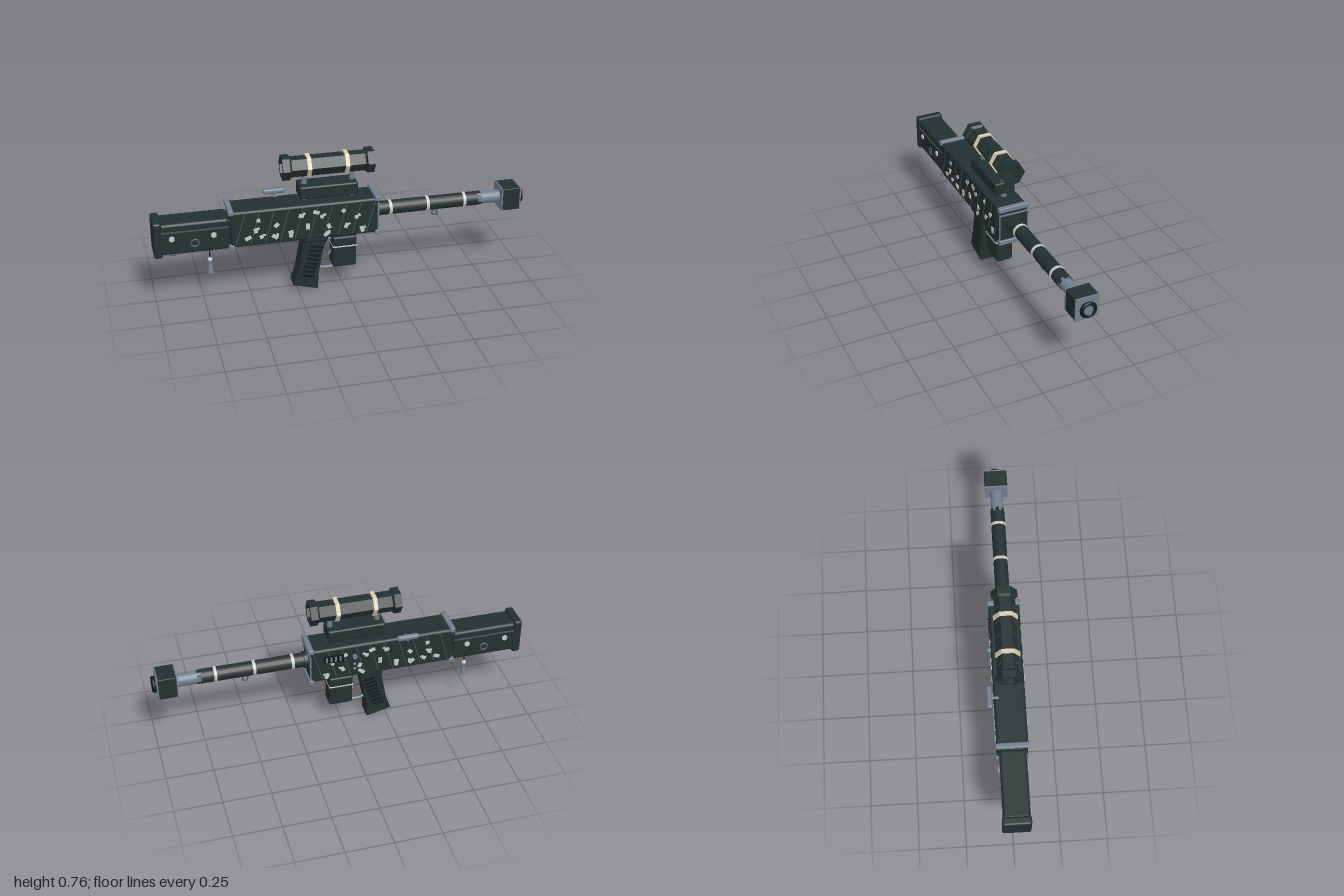
import * as THREE from 'three';
import { RoundedBoxGeometry } from 'three/addons/geometries/RoundedBoxGeometry.js';

const mat = (name, color) => Object.assign(new THREE.MeshStandardMaterial({ color }), { name });

export function createModel() {
  const dark = mat('dark green body', 0x23302f);
  const steel = mat('blue grey steel', 0x6f7e8e);
  const pale = mat('pale silver', 0xc6cac8);
  const cream = mat('cream band', 0xd8ccb0);
  const shade = mat('dark grey trim', 0x4b565c);
  const black = mat('near black', 0x141b1c);

  const root = new THREE.Group();
  const body = new THREE.Group();
  body.name = 'launcher';
  body.position.z = 0.016;
  root.add(body);

  // Helpers
  const add = (name, geo, m, x = 0, y = 0, z = 0) => {
    const mesh = new THREE.Mesh(geo, m);
    mesh.name = name;
    mesh.position.set(x, y, z);
    body.add(mesh);
    return mesh;
  };
  const rbox = (name, m, x0, x1, y0, y1, hz, r = 0.01) =>
    add(name, new RoundedBoxGeometry(x1 - x0, y1 - y0, hz * 2, 2, r), m, (x0 + x1) / 2, (y0 + y1) / 2);
  const box = (name, m, x, y, z, w, h, d, rot = 0) => {
    const mesh = add(name, new THREE.BoxGeometry(w, h, d), m, x, y, z);
    mesh.rotation.z = rot;
    return mesh;
  };
  const rod = (name, m, x0, x1, y, r, seg = 20) =>
    add(name, new THREE.CylinderGeometry(r, r, x1 - x0, seg).rotateZ(-Math.PI / 2), m, (x0 + x1) / 2, y);
  const torusX = (name, m, x, y, R, r) =>
    add(name, new THREE.TorusGeometry(R, r, 10, 24).rotateY(Math.PI / 2), m, x, y);
  const hexTube = (name, m, pts, y) => {
    const g = new THREE.LatheGeometry(pts.map(p => new THREE.Vector2(p[0], p[1])), 6)
      .rotateZ(-Math.PI / 2).toNonIndexed();
    g.computeVertexNormals();
    return add(name, g, m, 0, y);
  };

  // Stock
  rbox('buttPlate', dark, -1, -0.955, 0.297, 0.495, 0.075, 0.012);
  rbox('stock', dark, -0.965, -0.61, 0.31, 0.482, 0.069, 0.015);
  rbox('stockNeck', dark, -0.63, -0.59, 0.33, 0.47, 0.06, 0.01);
  for (const s of [1, -1]) {
    box('stockTrim', shade, -0.785, 0.438, s * 0.07, 0.34, 0.007, 0.006);
    for (const x of [-0.905, -0.69])
      add('stockStud', new THREE.CylinderGeometry(0.016, 0.016, 0.012, 6).rotateX(Math.PI / 2), pale, x, 0.402, s * 0.07);
    add('stockRing', new THREE.TorusGeometry(0.02, 0.005, 8, 16), shade, -0.788, 0.366, s * 0.07);
  }
  add('stockSlingLoop', new THREE.TorusGeometry(0.015, 0.004, 8, 16), shade, -0.895, 0.288);

  // Hanging charm
  add('charmCord', new THREE.CylinderGeometry(0.003, 0.003, 0.09, 8), black, -0.708, 0.27);
  add('charmBead', new THREE.SphereGeometry(0.013, 12, 8), pale, -0.708, 0.226);
  add('charmTassel', new THREE.CylinderGeometry(0.005, 0.018, 0.065, 12), steel, -0.708, 0.183);

  // Receiver with cross bars at both ends
  rbox('receiver', dark, -0.605, 0.178, 0.318, 0.518, 0.081, 0.014);
  for (const x of [-0.6, 0.174])
    for (const y of [0.516, 0.32])
      rbox('crossBar', steel, x - 0.014, x + 0.014, y - 0.014, y + 0.014, 0.086, 0.006);
  box('endStrip', steel, 0.179, 0.483, 0, 0.008, 0.009, 0.164);
  for (const s of [1, -1]) box('endEdge', steel, 0.178, 0.41, s * 0.08, 0.008, 0.15, 0.007);

  // Painted flecks and slanted scores on both sides
  const flecks = [[-0.46, 0.462], [-0.475, 0.405], [-0.515, 0.366], [-0.445, 0.366], [-0.365, 0.424], [-0.375, 0.36],
    [-0.29, 0.355], [-0.235, 0.462], [-0.2, 0.398], [-0.125, 0.447], [-0.088, 0.388], [-0.1, 0.345],
    [-0.01, 0.468], [0.005, 0.38], [-0.155, 0.474], [0.06, 0.425], [-0.29, 0.375], [0.09, 0.35]];
  for (const s of [1, -1]) {
    flecks.forEach(([x, y], i) => {
      const w = 0.02 + 0.007 * (i % 3);
      box('paintFleck', pale, x, y, s * 0.082, w, 0.02, 0.005, (i * 1.7) % 3);
      if (i % 2) box('paintFleck', pale, x + 0.014, y + 0.01, s * 0.082, 0.016, 0.012, 0.005, i);
    });
    for (let i = 0; i < 10; i++)
      box('scoreLine', shade, -0.555 + i * 0.077, 0.418, s * 0.081, 0.004, 0.18, 0.004, -0.27);
  }

  // Ejection port and knob on the far side
  box('portPlate', black, 0.055, 0.455, -0.083, 0.11, 0.045, 0.009);
  for (let i = 0; i < 4; i++) box('portSlot', steel, 0.018 + i * 0.025, 0.455, -0.087, 0.01, 0.03, 0.006);
  add('selectorKnob', new THREE.CylinderGeometry(0.013, 0.013, 0.018, 12).rotateX(Math.PI / 2), steel, -0.06, 0.452, -0.087);
  for (const y of [0.4, 0.37])
    add('sideRivet', new THREE.SphereGeometry(0.009, 10, 8), steel, -0.06, y, -0.081);

  // Bolt handle
  add('boltHandle', new RoundedBoxGeometry(0.118, 0.028, 0.028, 3, 0.011), steel, -0.343, 0.534, -0.103);
  add('boltStem', new THREE.CylinderGeometry(0.007, 0.007, 0.05, 10).rotateX(Math.PI / 2), steel, -0.343, 0.518, -0.082);

  // Barrel with bands and a notched collar
  const by = 0.42;
  rod('barrelRoot', dark, 0.17, 0.2, by, 0.045);
  rod('barrel', dark, 0.17, 0.745, by, 0.038);
  for (const x of [0.26, 0.465, 0.67]) rod('barrelBand', pale, x - 0.008, x + 0.008, by, 0.041);
  rod('barrelTip', steel, 0.74, 0.88, by, 0.034);
  for (let i = 0; i < 6; i++) {
    const a = i * Math.PI / 3;
    const tooth = add('collarTooth', new THREE.BoxGeometry(0.025, 0.006, 0.02), dark,
      0.752, by + Math.cos(a) * 0.034, Math.sin(a) * 0.034);
    tooth.rotation.x = a;
  }
  add('barrelLoop', new THREE.TorusGeometry(0.015, 0.004, 8, 16), shade, 0.512, 0.362);

  // Muzzle block
  rbox('muzzleBlock', dark, 0.876, 0.972, 0.358, 0.482, 0.062, 0.004);
  for (const x of [0.873, 0.974]) box('muzzlePlate', steel, x, by, 0, 0.007, 0.126, 0.126);
  rod('muzzleSleeve', dark, 0.974, 0.988, by - 0.003, 0.04);
  torusX('muzzleRing', black, 0.989, by - 0.003, 0.035, 0.01);
  rod('muzzleCore', steel, 0.974, 0.992, by - 0.003, 0.027);

  // Scope: open six-sided tube
  const sy = 0.708;
  hexTube('scopeTube', dark, [[0.047, -0.32], [0.068, -0.32], [0.068, -0.282], [0.055, -0.272],
    [0.055, 0.117], [0.068, 0.127], [0.068, 0.165], [0.047, 0.165], [0.047, -0.32]], sy);
  for (const x of [-0.18, 0.02])
    hexTube('scopeBand', cream, [[0.05, x - 0.011], [0.064, x - 0.011], [0.064, x + 0.011], [0.05, x + 0.011]], sy);
  for (const s of [1, -1])
    for (let i = 0; i < 5; i++) {
      const score = box('scopeScore', shade, -0.235 + i * 0.075, sy + 0.024, s * 0.0415, 0.003, 0.035, 0.003);
      score.rotation.set(-s * Math.PI / 6, 0, -0.3);
    }

  // Scope mount
  rbox('mountBlock', dark, -0.235, 0.075, 0.54, 0.61, 0.057, 0.01);
  for (const x of [-0.202, 0.053])
    add('mountPost', new THREE.CylinderGeometry(0.015, 0.015, 0.16, 14), steel, x, 0.585);

  // Grip: side outline with rounded edges
  const outline = new THREE.Shape();
  outline.moveTo(-0.205, 0.33);
  outline.lineTo(-0.222, 0.22);
  outline.lineTo(-0.24, 0.12);
  outline.lineTo(-0.265, 0.043);
  outline.lineTo(-0.148, 0.012);
  outline.quadraticCurveTo(-0.15, 0.09, -0.132, 0.16);
  outline.quadraticCurveTo(-0.122, 0.24, -0.1, 0.29);
  outline.lineTo(-0.1, 0.33);
  outline.closePath();
  const gripGeo = new THREE.ExtrudeGeometry(outline, {
    depth: 0.084, bevelEnabled: true, bevelThickness: 0.01, bevelSize: 0.008, bevelSegments: 2, curveSegments: 6 });
  add('grip', gripGeo.translate(0, 0, -0.042), dark);
  rbox('gripCollar', dark, -0.22, -0.09, 0.293, 0.325, 0.07, 0.01);
  for (const s of [1, -1])
    for (let i = 0; i < 8; i++)
      box('gripRidge', black, -0.198 + i * 0.007, 0.09 + i * 0.024, s * 0.053, 0.065, 0.011, 0.008, -0.22);

  // Magazine
  rbox('magazine', dark, -0.06, 0.07, 0.118, 0.245, 0.046, 0.012);
  rbox('magazineTop', dark, -0.06, 0.07, 0.24, 0.298, 0.052, 0.01);
  box('magazineStripe', pale, 0.005, 0.242, 0, 0.131, 0.007, 0.106);
  rbox('magazineNeck', dark, -0.04, 0.05, 0.28, 0.33, 0.04, 0.006);

  // Trigger and guard
  const tube = (name, m, pts, r) => add(name, new THREE.TubeGeometry(
    new THREE.CatmullRomCurve3(pts.map(p => new THREE.Vector3(p[0], p[1], 0))), 20, r, 8), m);
  tube('triggerGuard', steel, [[-0.145, 0.115], [-0.1, 0.104], [-0.04, 0.108], [0, 0.125]], 0.008);
  tube('guardBrace', steel, [[-0.12, 0.262], [-0.09, 0.276], [-0.05, 0.27]], 0.006);
  tube('trigger', steel, [[-0.05, 0.225], [-0.062, 0.195], [-0.075, 0.178]], 0.007);

  return root;
}
